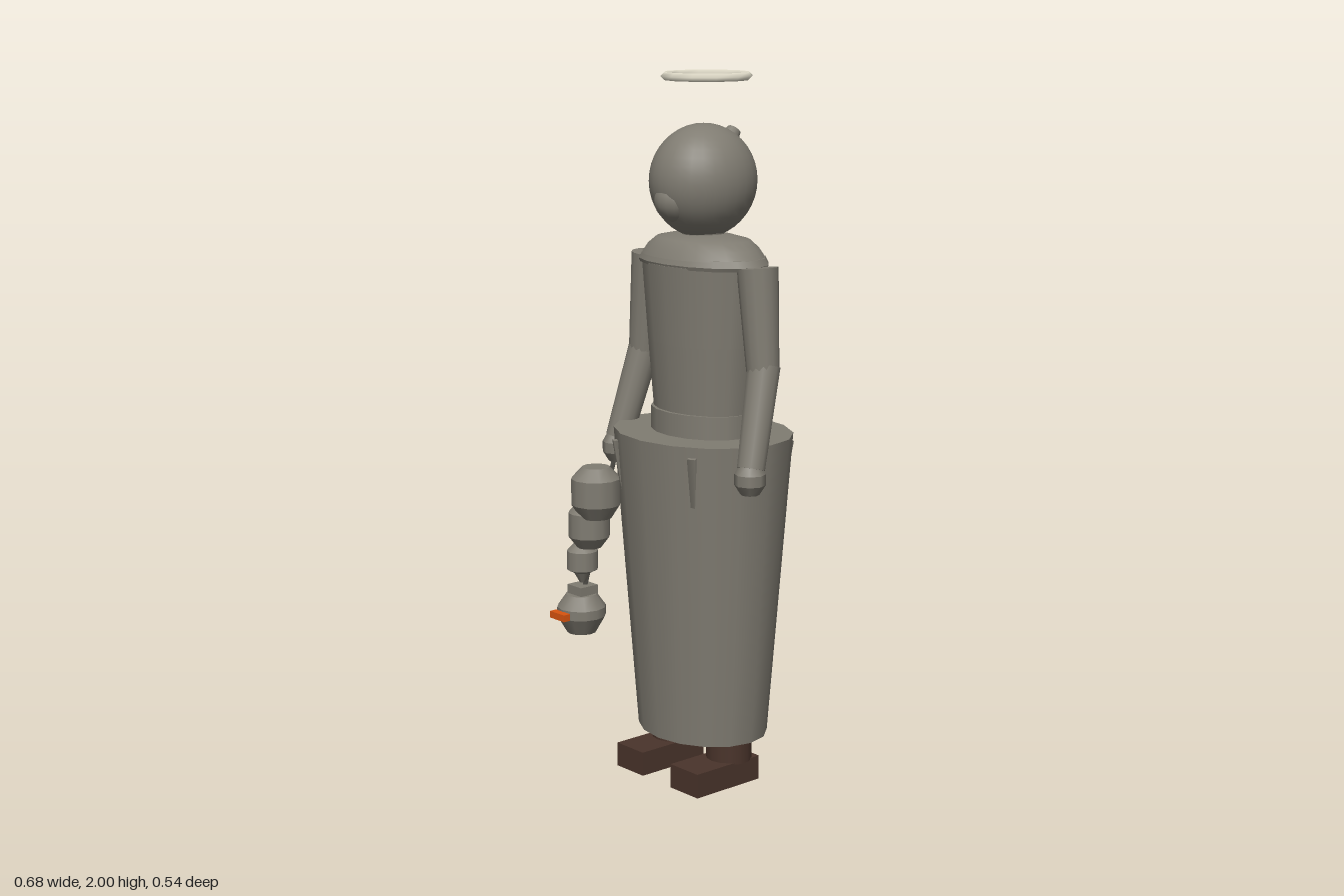
import * as THREE from 'three';
import { mergeGeometries } from 'three/addons/utils/BufferGeometryUtils.js';

const paint = (name, color) => {
  const m = new THREE.MeshStandardMaterial({ color });
  m.name = name;
  return m;
};

export function createModel() {
  const stone = paint('grey stone', 0x807c72);
  const leather = paint('dark brown leather', 0x4a342b);
  const glow = paint('orange glow', 0xd9540f);
  const ivory = paint('pale ivory', 0xe8e3d0);
  const iron = paint('dark iron', 0x504e48);

  const model = new THREE.Group();
  // The body axis sits slightly off the origin
  const body = new THREE.Group();
  body.name = 'body';
  body.position.set(0.012, 0, -0.04);
  model.add(body);

  const add = (parent, name, geometry, material, x = 0, y = 0, z = 0) => {
    const mesh = new THREE.Mesh(geometry, material);
    mesh.name = name;
    mesh.position.set(x, y, z);
    parent.add(mesh);
    return mesh;
  };

  // Round stack of [radius, y] rings, with crisp edges between the rings
  const stack = (rings, sides, depth = 1) => {
    const parts = [];
    for (let i = 0; i < rings.length - 1; i++) {
      const [r0, y0] = rings[i], [r1, y1] = rings[i + 1];
      const g = new THREE.CylinderGeometry(r1, r0, y1 - y0, sides);
      g.translate(0, (y0 + y1) / 2, 0);
      parts.push(g);
    }
    return mergeGeometries(parts).scale(1, 1, depth);
  };

  // Tapered limb from point a to point b
  const limb = (parent, name, a, b, ra, rb, sides, material) => {
    const from = new THREE.Vector3(...a), to = new THREE.Vector3(...b);
    const dir = to.clone().sub(from);
    const mesh = add(parent, name, new THREE.CylinderGeometry(rb, ra, dir.length(), sides), material);
    mesh.position.copy(from).add(to).multiplyScalar(0.5);
    mesh.quaternion.setFromUnitVectors(new THREE.Vector3(0, 1, 0), dir.normalize());
    return mesh;
  };

  // Clothing
  add(body, 'skirt', stack([[0.205, 0.13], [0.28, 1.005]], 16, 0.82), stone);
  add(body, 'waistBand', stack([[0.168, 1], [0.168, 1.07]], 16, 0.76), stone);
  add(body, 'torso', stack([[0.163, 1.07], [0.181, 1.26], [0.2, 1.48]], 16, 0.72), stone);
  add(body, 'collarBand', stack([[0.217, 1.475], [0.222, 1.485], [0.21, 1.503]], 16, 0.645), stone);
  const yoke = [[0.205, 1.5], [0.185, 1.525], [0.155, 1.547], [0.1, 1.558], [0, 1.562]]
    .map(([r, y]) => new THREE.Vector2(r, y));
  add(body, 'shoulderYoke', new THREE.LatheGeometry(yoke, 24).scale(1, 1, 0.68), stone);
  add(body, 'neck', stack([[0.06, 1.5], [0.06, 1.6]], 12), stone);

  // Head, muzzle and hair knot
  add(body, 'head', new THREE.SphereGeometry(1, 28, 20).scale(0.14, 0.157, 0.157), stone, 0, 1.705, 0);
  add(body, 'muzzle', new THREE.SphereGeometry(1, 16, 12).scale(0.06, 0.06, 0.062), stone, 0, 1.657, 0.099);
  limb(body, 'hairKnot', [0, 1.79, -0.075], [0, 1.838, -0.115], 0.036, 0.02, 12, stone);

  for (const side of [-1, 1]) {
    // Arms
    const shoulder = [side * 0.22, 1.485, 0], elbow = [side * 0.248, 1.205, 0.004], wrist = [side * 0.279, 0.95, 0.075];
    limb(body, 'upperArm', shoulder, elbow, 0.057, 0.045, 14, stone);
    limb(body, 'forearm', [side * 0.248, 1.22, 0], wrist, 0.046, 0.039, 14, stone);
    add(body, 'hand', stack([[0.026, 0.88], [0.043, 0.907], [0.043, 0.937], [0.026, 0.968]], 8), stone, side * 0.281, 0, 0.08);

    // Legs and shoes
    add(body, 'leg', stack([[0.066, 0.065], [0.066, 0.2]], 14), leather, side * 0.118, 0, 0.005);
    add(body, 'shoe', new THREE.BoxGeometry(0.114, 0.07, 0.235), leather, side * 0.118, 0.035, 0.058);

    // Skirt pleats, front and back
    for (const face of [-1, 1]) {
      limb(body, 'pleat', [side * 0.16, 0.975, face * 0.181], [side * 0.143, 0.74, face * 0.158], 0.017, 0.004, 4, stone);
    }
  }

  // Halo
  const halo = add(body, 'halo', new THREE.TorusGeometry(0.118, 0.011, 4, 12), ivory, 0, 1.989, -0.012);
  halo.rotation.x = Math.PI / 2;

  // Hanging jars, each smaller than the one above
  const jars = new THREE.Group();
  jars.name = 'hangingJars';
  jars.position.z = 0.175;
  model.add(jars);
  add(jars, 'largeJar', stack([[0.045, 0.745], [0.071, 0.785], [0.071, 0.86], [0.04, 0.893]], 12), stone, -0.203);
  add(jars, 'middleJar', stack([[0.035, 0.652], [0.06, 0.685], [0.06, 0.755], [0.035, 0.78]], 12), stone, -0.235);
  add(jars, 'smallJar', stack([[0.008, 0.54], [0.025, 0.57], [0.045, 0.58], [0.045, 0.635], [0.025, 0.655]], 12), stone, -0.268);

  // Lantern with its glowing window
  add(jars, 'lanternBowl', stack([[0.042, 0.393], [0.071, 0.443], [0.071, 0.47], [0.045, 0.507]], 12), stone, -0.268, 0, 0.005);
  add(jars, 'lanternCap', new THREE.BoxGeometry(0.062, 0.03, 0.062), stone, -0.268, 0.518, 0);
  add(jars, 'lanternWindow', new THREE.BoxGeometry(0.064, 0.02, 0.022), glow, -0.267, 0.455, 0.085);

  // Chain from the hand down to the lantern
  const top = new THREE.Vector3(-0.267, 0.9, 0.05), end = new THREE.Vector3(-0.267, 0.52, 0.17);
  const links = 7;
  for (let i = 0; i < links; i++) {
    const a = top.clone().lerp(end, i / links), b = top.clone().lerp(end, (i + 0.92) / links);
    limb(model, 'chainLink', a.toArray(), b.toArray(), 0.009, 0.009, 4, iron).rotateY((i % 2) * Math.PI / 4);
  }
  return model;
}
